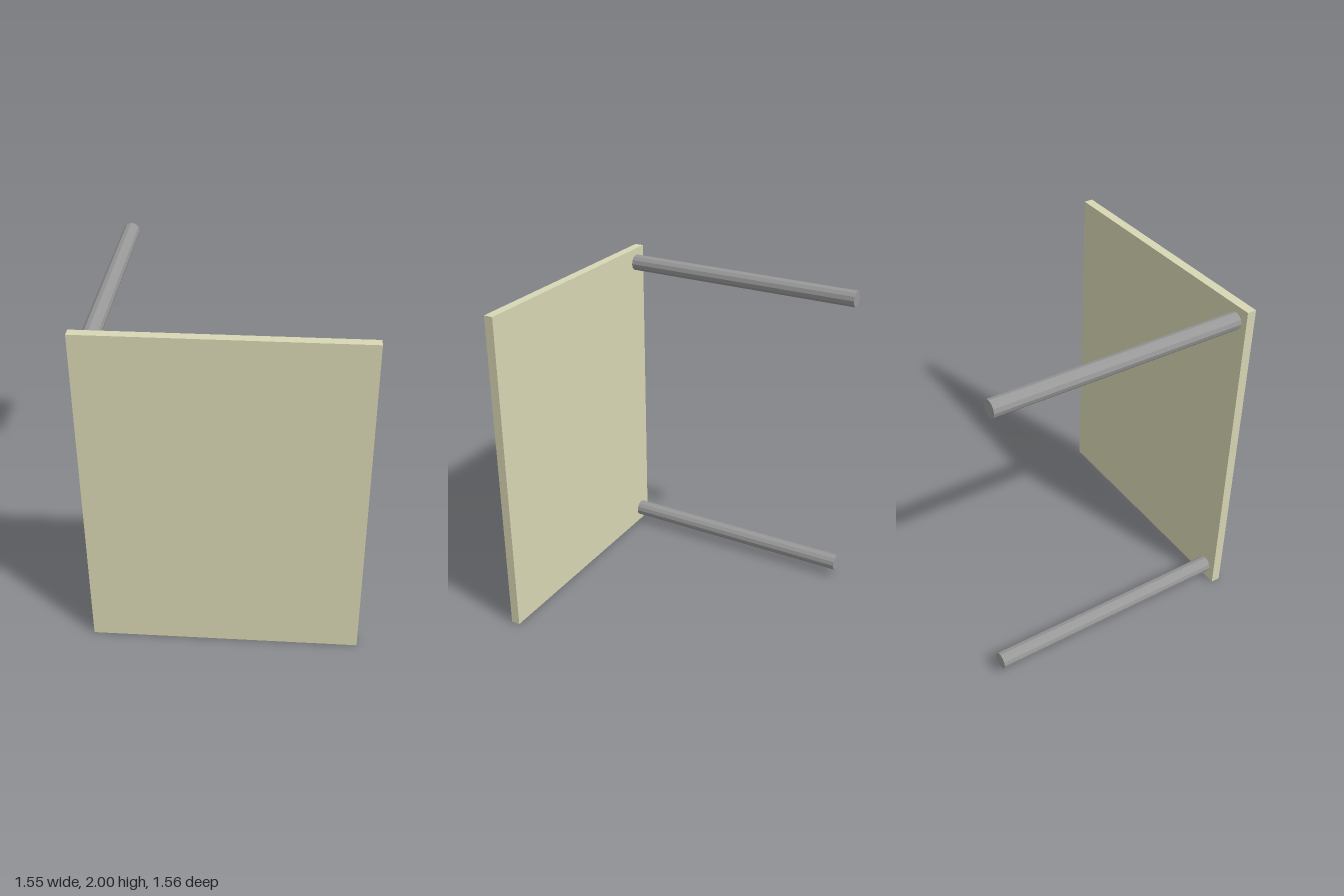
import * as THREE from 'three';

export function createModel() {
  const model = new THREE.Group();
  const panelMaterial = new THREE.MeshStandardMaterial({ color: 0xd8d6b4 });
  const rodMaterial = new THREE.MeshStandardMaterial({ color: 0x999999, flatShading: true });

  const width = 1.555, height = 2, thickness = 0.055;
  const front = 0.778, back = -0.778;
  const panelBack = front - thickness;

  // Upright sign panel
  const panel = new THREE.Mesh(new THREE.BoxGeometry(width, height, thickness), panelMaterial);
  panel.name = 'panel';
  panel.position.set(0, height / 2, front - thickness / 2);
  model.add(panel);

  // Two horizontal rods holding the panel along its right edge
  const length = panelBack - back;
  const rodGeometry = new THREE.CylinderGeometry(0.05, 0.05, length, 12);
  rodGeometry.rotateX(Math.PI / 2);
  for (const [name, y] of [['lowerRod', 0.09], ['upperRod', 1.91]]) {
    const rod = new THREE.Mesh(rodGeometry, rodMaterial);
    rod.name = name;
    rod.position.set(-0.69, y, (panelBack + back) / 2);
    model.add(rod);
  }
  return model;
}
